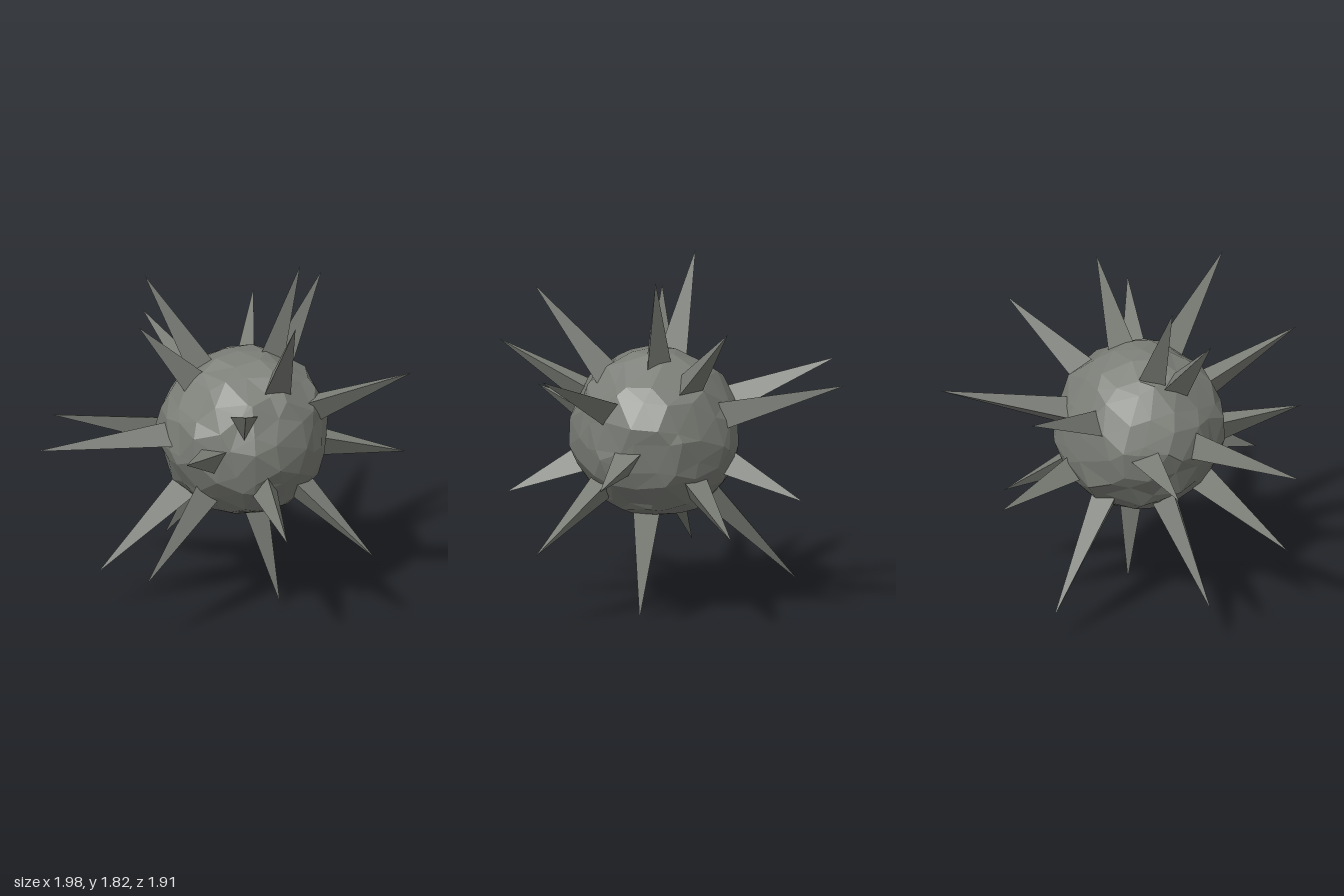
import * as THREE from 'three';

const CENTER = new THREE.Vector3(0.155, 0.957, 0.094);
const RADIUS = 0.441;

// Spikes: tip x, y, z, the turn in degrees of one ridge away from the upper side,
// and for leaning spikes the shift of the root
const SPIKES = [
  [-0.34, 1.81, -0.02, -90], [-0.41, 1.60, 0.17, -90], [0.47, 1.82, 0.03, 90],
  [0.305, 1.74, 0.70, 0, [0.06, 0, 0]], [0.67, 1.61, -0.39, 0], [0.955, 1.38, 0.53, 180],
  [-0.01, 1.37, 0.95, 180], [-0.19, 1.31, -0.79, 0], [0.43, 1.31, -0.96, -30],
  [-0.29, 1.07, 0.80, 180, [0, -0.06, 0]], [-0.99, 1.03, 0.35, 225],
  [-0.78, 0.98, -0.26, 160, [0, -0.03, -0.05]],
  [0.99, 0.82, 0.22, 180], [0.235, 0.635, -0.70, 130], [0.23, 0.615, 0.86, 0],
  [0.67, 0.51, -0.41, 180], [0.74, 0.40, 0.61, 180], [-0.46, 0.35, 0.61, 0],
  [-0.60, 0.21, 0.05, 240], [-0.11, 0.14, -0.60, 180], [0.34, 0, 0.14, -50],
];

// Rough faceted ball whose vertices are shifted by overlapping waves
function makeBodyGeometry() {
  const geo = new THREE.IcosahedronGeometry(1, 3);
  const pos = geo.attributes.position;
  const v = new THREE.Vector3();
  for (let i = 0; i < pos.count; i++) {
    v.fromBufferAttribute(pos, i);
    const { x, y, z } = v;
    const bump = Math.sin(37 * x + 19 * y) + Math.sin(41 * y - 23 * z) + Math.sin(33 * z + 29 * x);
    v.x += 0.07 * Math.sin(43 * y + 24 * z);
    v.y += 0.07 * Math.sin(39 * z + 26 * x);
    v.z += 0.07 * Math.sin(45 * x + 22 * y);
    v.setLength(RADIUS * (1 + 0.016 * bump));
    pos.setXYZ(i, v.x, v.y, v.z);
  }
  geo.computeVertexNormals();
  return geo;
}

// Three-sided spike from inside the body out to its tip
function makeSpike([x, y, z, turn, shift = [0, 0, 0]], material) {
  const tip = new THREE.Vector3(x, y, z);
  const root = tip.clone().sub(CENTER).setLength(RADIUS * 0.9).add(CENTER);
  root.add(new THREE.Vector3(...shift));
  const dir = tip.clone().sub(root);
  const length = dir.length();
  dir.normalize();
  const side = new THREE.Vector3(0, 1, 0).cross(dir).normalize();
  const ridge = dir.clone().cross(side).applyAxisAngle(dir, -THREE.MathUtils.degToRad(turn));
  const across = dir.clone().cross(ridge);

  const spike = new THREE.Mesh(new THREE.ConeGeometry(0.085, length, 3, 1), material);
  spike.name = 'spike';
  spike.quaternion.setFromRotationMatrix(new THREE.Matrix4().makeBasis(across, dir, ridge));
  spike.position.copy(root).lerp(tip, 0.5);
  return spike;
}

export function createModel() {
  const model = new THREE.Group();
  model.name = 'spikedBall';
  const stone = new THREE.MeshStandardMaterial({ color: 0x7b7e77, flatShading: true });
  stone.name = 'stone grey';

  const body = new THREE.Mesh(makeBodyGeometry(), stone);
  body.name = 'body';
  body.position.copy(CENTER);
  model.add(body);

  const spikes = new THREE.Group();
  spikes.name = 'spikes';
  SPIKES.forEach((spec) => spikes.add(makeSpike(spec, stone)));
  model.add(spikes);
  return model;
}
